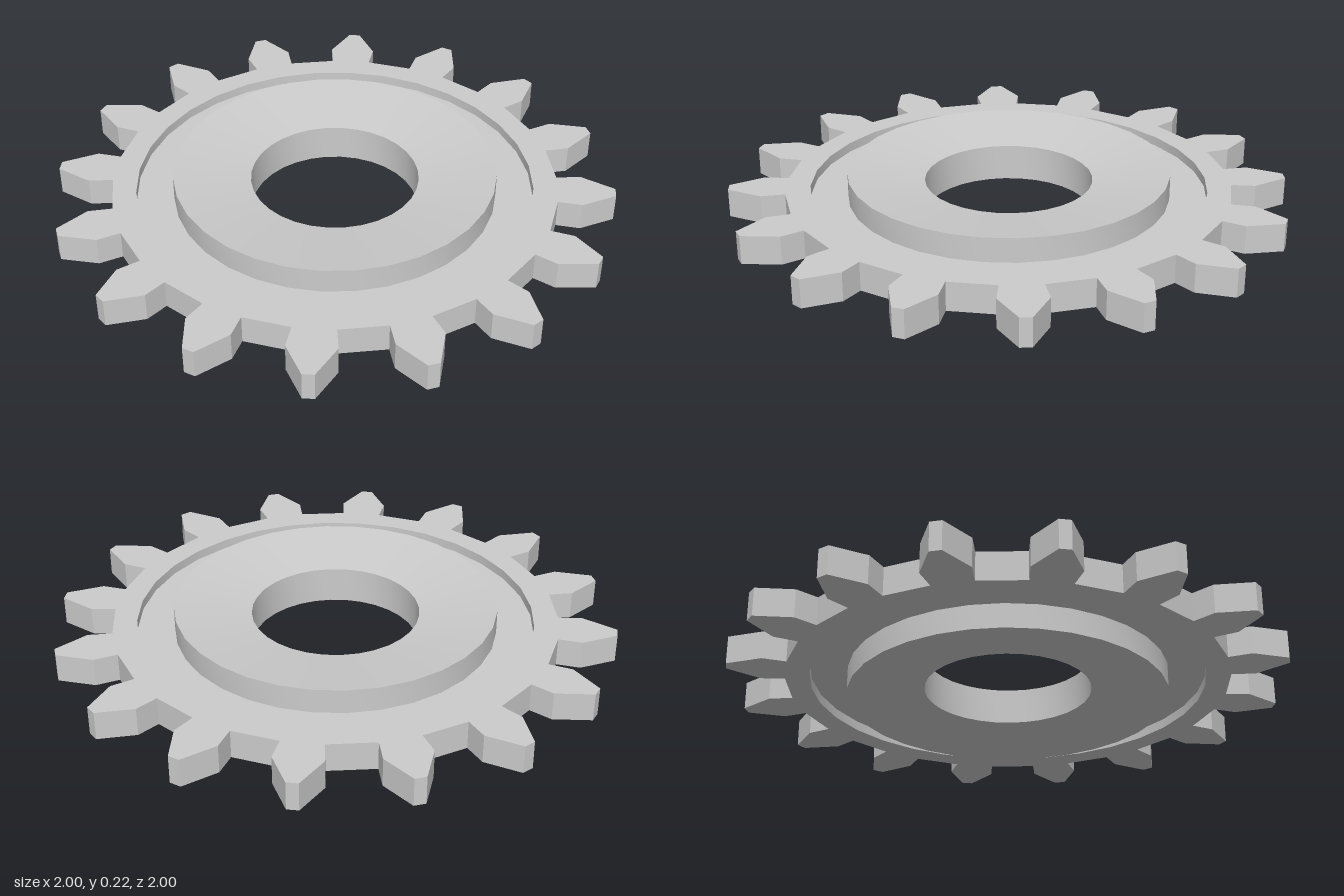
import * as THREE from 'three';
import { toCreasedNormals } from 'three/addons/utils/BufferGeometryUtils.js';

const TEETH = 16;
const SEGMENTS = 32;
const RIM_INNER = 0.72;

// Half tooth outline: [sideways offset, radius] from root to tip
const HALF_TOOTH = [[0.073, 0.805], [0.085, 0.892], [0.021, 1.015]];

function toothedRim() {
  const tooth = [
    ...HALF_TOOTH,
    ...HALF_TOOTH.map(([t, r]) => [-t, r]).reverse(),
  ];
  const outline = [];
  for (let i = 0; i < TEETH; i++) {
    const a = ((i + 0.5) / TEETH) * Math.PI * 2;
    for (const [t, r] of tooth) {
      outline.push(new THREE.Vector2(
        Math.cos(a) * r + Math.sin(a) * t,
        Math.sin(a) * r - Math.cos(a) * t,
      ));
    }
  }
  const shape = new THREE.Shape(outline);
  shape.holes.push(new THREE.Path().absarc(0, 0, RIM_INNER, 0, Math.PI * 2, true));
  const geometry = new THREE.ExtrudeGeometry(shape, {
    depth: 0.105, bevelEnabled: false, curveSegments: SEGMENTS / 2,
  });
  geometry.rotateX(-Math.PI / 2).translate(0, 0.055, 0);
  return toCreasedNormals(geometry, 0.3);
}

// Dished hub with a central bore, joined to the rim by a thin recessed web
function hubAndWeb() {
  const profile = [
    [RIM_INNER, 0.125], [0.585, 0.125], [0.585, 0.215], [0.305, 0.175],
    [0.305, 0.04], [0.585, 0], [0.585, 0.09], [RIM_INNER, 0.09],
  ].map(([r, y]) => new THREE.Vector2(r, y));
  return toCreasedNormals(new THREE.LatheGeometry(profile, SEGMENTS), 0.5);
}

export function createModel() {
  const group = new THREE.Group();
  group.name = 'gearWheel';
  const material = new THREE.MeshStandardMaterial({ color: 0xcccccc });
  const add = (name, geometry) => {
    const mesh = new THREE.Mesh(geometry, material);
    mesh.name = name;
    group.add(mesh);
  };
  add('toothedRim', toothedRim());
  add('hubAndWeb', hubAndWeb());
  return group;
}
